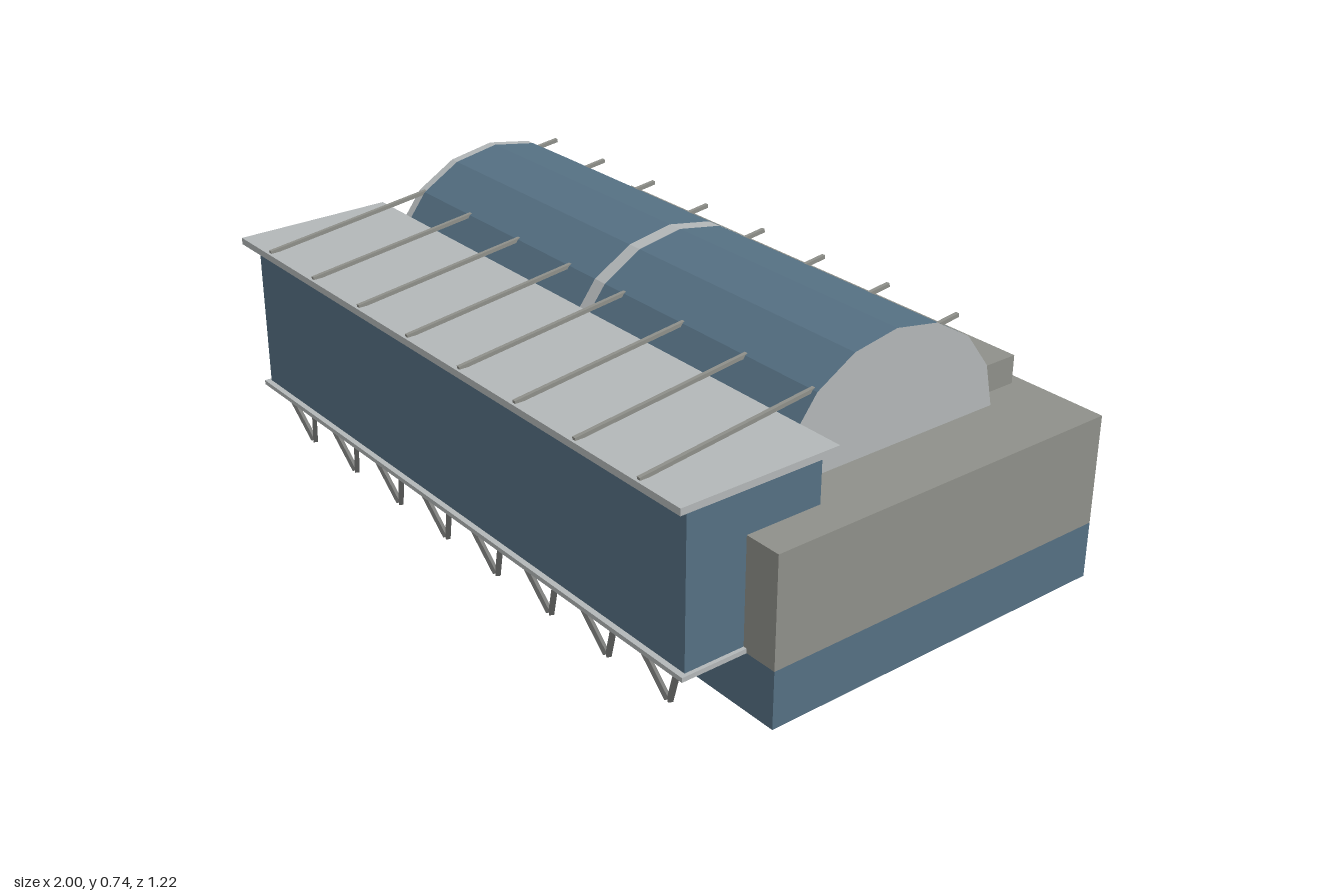
import * as THREE from 'three';

const mat = (name, color, side = THREE.FrontSide) => {
  const m = new THREE.MeshStandardMaterial({ color, side });
  m.name = name;
  return m;
};

export function createModel() {
  const group = new THREE.Group();
  const glass = mat('blue glass', 0x557083, THREE.DoubleSide);
  const stone = mat('grey stone', 0x8f908a, THREE.DoubleSide);
  const pale = mat('pale metal', 0xb3b7b8, THREE.DoubleSide);
  const steel = mat('steel', 0x7d7e7c);

  const add = (name, geometry, material, parent = group) => {
    const mesh = new THREE.Mesh(geometry, material);
    mesh.name = name;
    parent.add(mesh);
    return mesh;
  };

  // Box given by its limits on each axis
  const block = (name, material, [x0, x1], [y0, y1], [z0, z1]) => {
    const mesh = add(name, new THREE.BoxGeometry(x1 - x0, y1 - y0, z1 - z0), material);
    mesh.position.set((x0 + x1) / 2, (y0 + y1) / 2, (z0 + z1) / 2);
  };

  // Flat-faced strip joining two matching rows of points
  const strip = (a, b) => {
    const pos = [];
    for (let i = 0; i < a.length - 1; i++) {
      pos.push(...a[i], ...a[i + 1], ...b[i + 1], ...a[i], ...b[i + 1], ...b[i]);
    }
    const g = new THREE.BufferGeometry();
    g.setAttribute('position', new THREE.Float32BufferAttribute(pos, 3));
    g.computeVertexNormals();
    return g;
  };

  // Thin upright wall along a plan path of [x, z] points (counter-clockwise from above)
  const wall = (name, material, path, y0, y1) =>
    add(name, strip(path.map(([x, z]) => [x, y0, z]), path.map(([x, z]) => [x, y1, z])), material);

  // Square bar between two points
  const bar = (name, a, b, size, material, parent) => {
    const from = new THREE.Vector3(...a), to = new THREE.Vector3(...b);
    const mesh = add(name, new THREE.BoxGeometry(size, size, from.distanceTo(to)), material, parent);
    mesh.position.copy(from).add(to).multiplyScalar(0.5);
    mesh.lookAt(to);
  };

  // Main hall: hollow, glazed below and stone above, with a slot for the front bay
  const FRONT = 0.41, BACK = -0.61, SLOT = 0.2, ROOF = 0.44, BAND = 0.15;
  wall('glazedBase', glass, [[-1, FRONT], [1, FRONT], [1, BACK], [-1, BACK], [-1, FRONT]], 0, BAND);
  wall('stoneWalls', stone,
    [[0.9, FRONT], [1, FRONT], [1, BACK], [-1, BACK], [-1, FRONT], [-0.9, FRONT]], BAND, ROOF);

  // Roof deck, U-shaped around the slot
  const deck = new THREE.Shape([
    [-1, -FRONT], [-0.9, -FRONT], [-0.9, -SLOT], [0.9, -SLOT], [0.9, -FRONT], [1, -FRONT],
    [1, -BACK], [-1, -BACK],
  ].map(([x, y]) => new THREE.Vector2(x, y)));
  add('roofDeck', new THREE.ShapeGeometry(deck).rotateX(-Math.PI / 2).translate(0, ROOF, 0), stone);
  block('rearCurb', stone, [-0.752, 0.75], [ROOF, 0.515], [-0.575, -0.46]);

  // Front bay
  wall('bayGlass', glass,
    [[-0.9, 0.575], [0.9, 0.575], [0.9, SLOT], [-0.9, SLOT], [-0.9, 0.575]], 0.16, 0.57);
  block('bayFloor', pale, [-0.91, 0.91], [0.15, 0.162], [SLOT, 0.59]);
  block('bayRoof', pale, [-0.925, 0.925], [0.568, 0.586], [0.174, 0.612]);

  // Barrel vault: eight facets, glass bays and pale ribs
  const arc = Array.from({ length: 9 }, (_, i) => {
    const t = (i / 8) * Math.PI;
    return [-0.11 + 0.335 * Math.cos(t), ROOF + 0.295 * Math.sin(t)];
  });
  const vault = (name, material, x0, x1) => {
    const row = (x) => arc.map(([z, y]) => [x, y, z]);
    add(name, strip(row(x1), row(x0)), material);
  };
  vault('vaultEndRib', pale, -0.8, -0.775);
  vault('vaultGlassRight', glass, -0.775, 0);
  vault('vaultMiddleRib', pale, 0, 0.04);
  vault('vaultGlassLeft', glass, 0.04, 0.8);
  const gable = new THREE.Shape(arc.map(([z, y]) => new THREE.Vector2(-z, y)));
  for (const x of [-0.8, 0.8]) {
    const mesh = add('vaultGable', new THREE.ShapeGeometry(gable), pale);
    mesh.rotation.y = Math.PI / 2;
    mesh.position.x = x;
  }

  // Sloping roof rods with a V-shaped prop below each
  const rods = new THREE.Group();
  rods.name = 'roofRods';
  const props = new THREE.Group();
  props.name = 'bayProps';
  group.add(rods, props);
  for (let i = 0; i < 8; i++) {
    const x = (i - 3.5) * 0.223;
    bar('roofRod', [x, 0.588, 0.605], [x, 0.702, -0.325], 0.01, stone, rods);
    for (const s of [-1, 1]) {
      bar('propLeg', [x + s * 0.004, 0.006, 0.519], [x + s * 0.076, 0.152, 0.554], 0.012, steel, props);
    }
  }
  return group;
}
